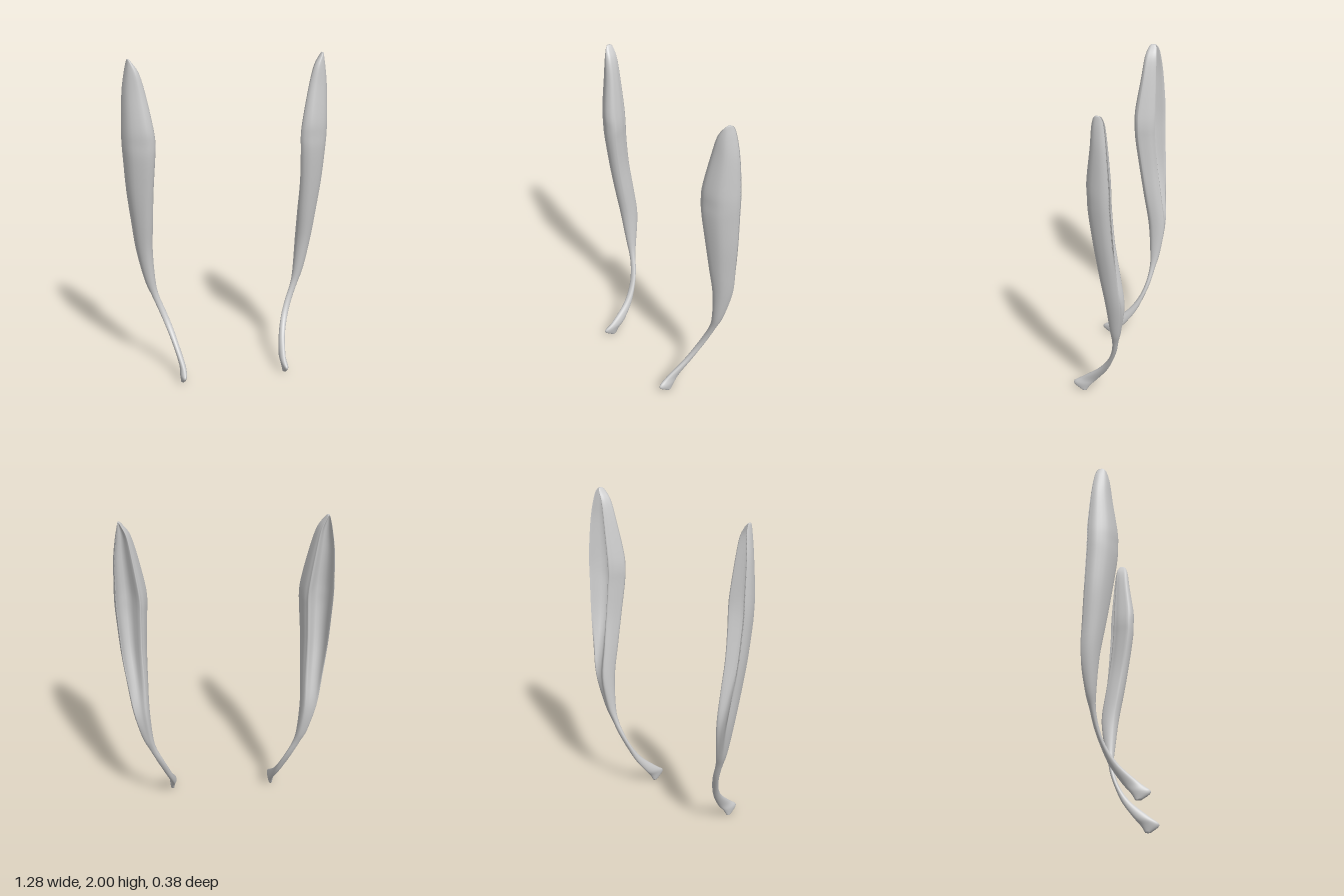
import * as THREE from 'three';

// Horizontal sections of one ear: y, x min, x max, z min, z max, cupping (0 = rod, 1 = open cup)
const SECTIONS = [
  [0.005, 0.318, 0.34, 0.095, 0.13, 0],
  [0.05, 0.308, 0.346, 0.068, 0.182, 0],
  [0.10, 0.305, 0.343, 0.025, 0.125, 0],
  [0.20, 0.328, 0.366, -0.045, 0.012, 0],
  [0.30, 0.356, 0.398, -0.09, -0.058, 0],
  [0.40, 0.392, 0.435, -0.125, -0.095, 0],
  [0.50, 0.43, 0.475, -0.148, -0.11, 0.05],
  [0.60, 0.448, 0.515, -0.175, -0.105, 0.12],
  [0.80, 0.46, 0.562, -0.208, -0.085, 0.3],
  [1.00, 0.46, 0.59, -0.192, -0.05, 0.6],
  [1.20, 0.46, 0.615, -0.17, -0.018, 0.9],
  [1.40, 0.451, 0.63, -0.156, 0.01, 1],
  [1.50, 0.447, 0.636, -0.152, 0.015, 1],
  [1.60, 0.458, 0.636, -0.15, 0.014, 1],
  [1.80, 0.497, 0.628, -0.134, -0.014, 1],
  [1.92, 0.53, 0.612, -0.122, -0.028, 0.9],
  [1.98, 0.568, 0.6, -0.108, -0.045, 0.8],
  [2.00, 0.585, 0.595, -0.09, -0.06, 0.5],
];

const HALF = 18; // points along each face of a section
const ROWS = 70;

const spline = (pts) => new THREE.SplineCurve(pts.map(([u, v]) => new THREE.Vector2(u, v)));
const outerFace = spline([[0, 0.8], [0.1, 0.94], [0.35, 1], [0.8, 0.78], [1, 0.32], [0.95, 0]]);
// cavity, then the thick rolled lobe along the front edge
const innerFace = spline([
  [0.95, 0], [0.84, 0.48], [0.55, 0.64], [0.26, 0.22], [0.18, 0.3], [0.09, 0.47], [0, 0.8],
]);

// Unit section: blends an ellipse into a cup open towards the inner back
function sectionPoint(i, cup) {
  const outer = i < HALF;
  const t = (outer ? i : i - HALF) / HALF;
  const c = (outer ? outerFace : innerFace).getPoint(t);
  const a = THREE.MathUtils.degToRad((outer ? 150 : -30) - 180 * t);
  return [
    THREE.MathUtils.lerp(0.5 + 0.5 * Math.cos(a), c.x, cup),
    THREE.MathUtils.lerp(0.5 + 0.5 * Math.sin(a), c.y, cup),
  ];
}

// Smoothly interpolated section values at s in 0..1
function sectionAt(s) {
  const f = s * (SECTIONS.length - 1);
  const k = Math.min(Math.floor(f), SECTIONS.length - 2);
  const t = f - k;
  const row = (j) => SECTIONS[THREE.MathUtils.clamp(j, 0, SECTIONS.length - 1)];
  return row(k).map((b, n) => {
    const a = row(k - 1)[n], c = row(k + 1)[n], d = row(k + 2)[n];
    return b + 0.5 * t * (c - a + t * (2 * a - 5 * b + 4 * c - d + t * (3 * (b - c) + d - a)));
  });
}

function earGeometry(side) {
  const ring = HALF * 2;
  const pos = [], index = [];
  // keeps faces outward on the mirrored ear
  const tri = (a, b, c) => (side > 0 ? index.push(a, b, c) : index.push(a, c, b));
  for (let r = 0; r <= ROWS; r++) {
    const [y, x0, x1, z0, z1, cup] = sectionAt(r / ROWS);
    for (let i = 0; i < ring; i++) {
      const [u, v] = sectionPoint(i, THREE.MathUtils.clamp(cup, 0, 1));
      pos.push(side * (x0 + (x1 - x0) * u), y, z0 + (z1 - z0) * v);
    }
  }
  for (let r = 0; r < ROWS; r++) {
    for (let i = 0; i < ring; i++) {
      const a = r * ring + i, b = r * ring + (i + 1) % ring;
      tri(a, a + ring, b);
      tri(b, a + ring, b + ring);
    }
  }
  // end caps, stitched across between the two faces
  const top = ROWS * ring;
  for (let i = 0; i < HALF; i++) {
    const j = (ring - i) % ring, k = ring - i - 1;
    tri(i, i + 1, k);
    tri(i, k, j);
    tri(top + i, top + k, top + i + 1);
    tri(top + i, top + j, top + k);
  }
  const g = new THREE.BufferGeometry();
  g.setAttribute('position', new THREE.Float32BufferAttribute(pos, 3));
  g.setIndex(index);
  g.computeVertexNormals();
  return g;
}

export function createModel() {
  const group = new THREE.Group();
  group.name = 'pairOfLongEars';
  const material = new THREE.MeshStandardMaterial({ color: 0xcccccc, side: THREE.DoubleSide });
  for (const [name, side] of [['leftEar', 1], ['rightEar', -1]]) {
    const ear = new THREE.Mesh(earGeometry(side), material);
    ear.name = name;
    group.add(ear);
  }
  return group;
}
